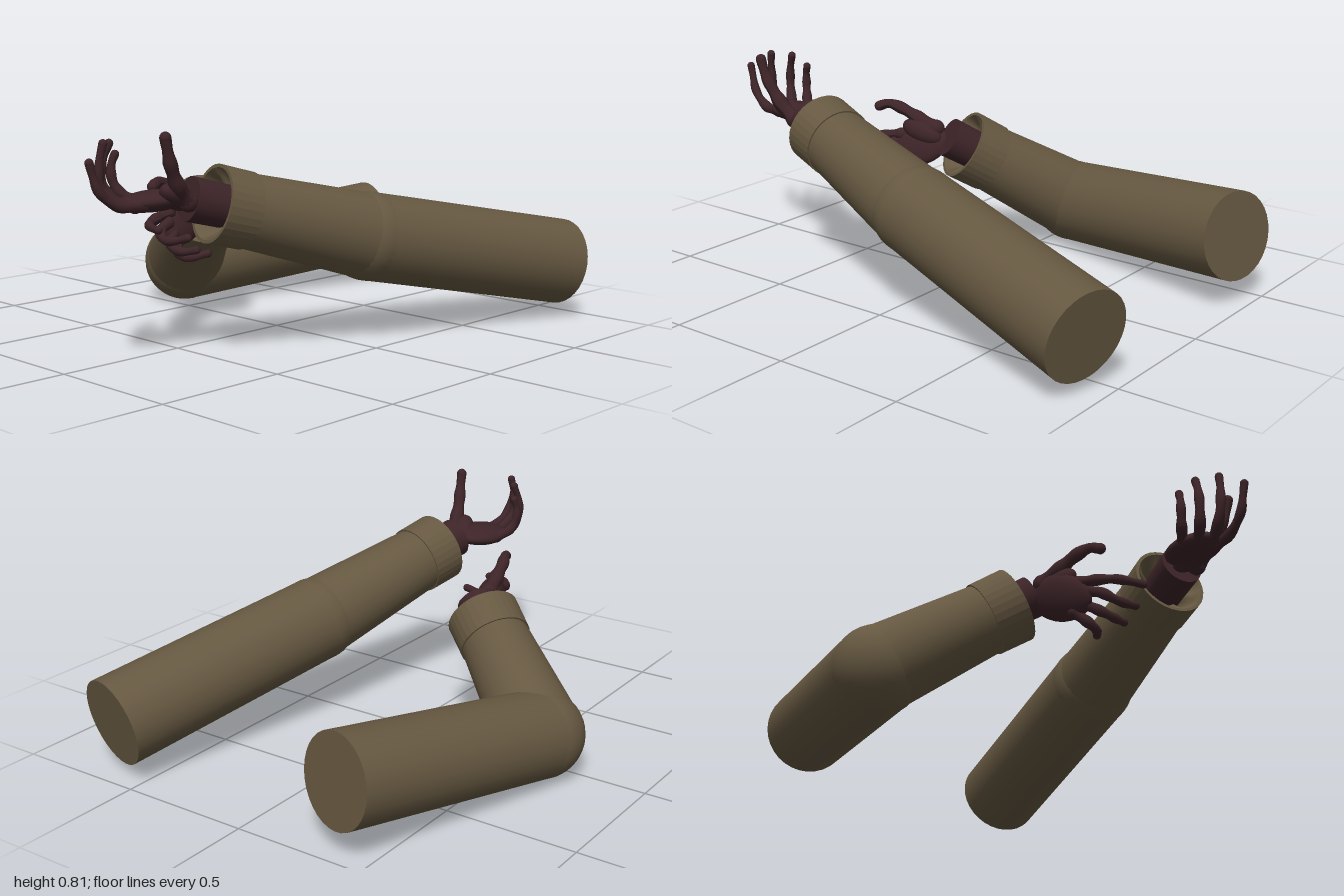
import * as THREE from 'three';

const cloth = new THREE.MeshStandardMaterial({ color: 0x665841 });
cloth.name = 'brownCloth';
const clothOpen = new THREE.MeshStandardMaterial({ color: 0x665841, side: THREE.DoubleSide });
clothOpen.name = 'brownClothLining';
const skin = new THREE.MeshStandardMaterial({ color: 0x3d2428 });
skin.name = 'darkHand';

const V = (a) => new THREE.Vector3(...a);
const UP = new THREE.Vector3(0, 1, 0);

function add(parent, name, geometry, material) {
  const mesh = new THREE.Mesh(geometry, material);
  mesh.name = name;
  parent.add(mesh);
  return mesh;
}

// Turns a y-aligned mesh so that it runs along dir from a point
function place(mesh, point, dir) {
  mesh.position.copy(point);
  mesh.quaternion.setFromUnitVectors(UP, dir);
  return mesh;
}

function rod(parent, name, a, b, ra, rb, material, open = false) {
  const dir = b.clone().sub(a);
  const geo = new THREE.CylinderGeometry(rb, ra, dir.length(), 32, 1, open);
  return place(add(parent, name, geo, material), a.clone().lerp(b, 0.5), dir.normalize());
}

// Ellipsoid with its long axis along dir and its wide axis near side
function pad(parent, name, centre, dir, side, size) {
  const y = V(dir).normalize();
  const z = V(side).cross(y).normalize();
  const x = y.clone().cross(z);
  const mesh = add(parent, name, new THREE.SphereGeometry(1, 24, 16), skin);
  mesh.quaternion.setFromRotationMatrix(new THREE.Matrix4().makeBasis(x, y, z));
  mesh.position.set(...centre);
  mesh.scale.set(...size);
}

// Tapered finger with slightly swollen joints and a rounded tip
function finger(parent, name, points, r0, r1) {
  const curve = new THREE.CatmullRomCurve3(points.map(V));
  const rings = 18, sides = 10;
  const geo = new THREE.TubeGeometry(curve, rings, 1, sides);
  const pos = geo.attributes.position;
  const p = new THREE.Vector3();
  for (let i = 0; i <= rings; i++) {
    const t = i / rings;
    const c = curve.getPointAt(t);
    const r = (r0 + (r1 - r0) * t) * (1 + 0.1 * Math.cos(t * Math.PI * 6));
    for (let j = 0; j <= sides; j++) {
      const k = i * (sides + 1) + j;
      p.fromBufferAttribute(pos, k).sub(c).multiplyScalar(r).add(c);
      pos.setXYZ(k, p.x, p.y, p.z);
    }
  }
  geo.computeVertexNormals();
  const group = new THREE.Group();
  group.name = name;
  add(group, name + 'Bones', geo, skin);
  add(group, name + 'Tip', new THREE.SphereGeometry(r1 * 1.12, 12, 8), skin).position.set(...points.at(-1));
  add(group, name + 'Knuckle', new THREE.SphereGeometry(r0 * 1.15, 12, 8), skin).position.set(...points[0]);
  parent.add(group);
}

// Cuff band, its rim and a pleated lining that narrows towards the wrist
function cuff(parent, end, dir) {
  const band = [[0.126, -0.13], [0.136, -0.13], [0.138, 0], [0.126, 0]];
  const geo = new THREE.LatheGeometry(band.map((q) => new THREE.Vector2(...q)), 32).toNonIndexed();
  geo.computeVertexNormals();
  place(add(parent, 'cuff', geo, clothOpen), end, dir);

  const lining = new THREE.LatheGeometry([[0.126, 0], [0.1, -0.04], [0.07, -0.07]].map((q) => new THREE.Vector2(...q)), 48);
  const pos = lining.attributes.position;
  for (let i = 0; i < pos.count; i++) {
    const depth = -pos.getY(i);
    const angle = Math.atan2(pos.getZ(i), pos.getX(i));
    pos.setY(i, -depth * (1 + 0.4 * Math.cos(angle * 6)));
  }
  lining.computeVertexNormals();
  place(add(parent, 'cuffLining', lining, clothOpen), end, dir);
}

function arm({ name, shoulder, elbow, wrist, hand, palm, heel, fingers, thumb }) {
  const group = new THREE.Group();
  group.name = name;
  const [s, e, w, h] = [shoulder, elbow, wrist, hand].map(V);
  const dir = w.clone().sub(e).normalize();
  const seam = w.clone().addScaledVector(dir, -0.125);

  // Sleeve
  rod(group, 'upperSleeve', s, e, 0.166, 0.161, cloth);
  add(group, 'elbow', new THREE.SphereGeometry(0.162, 32, 20), cloth).position.copy(e);
  rod(group, 'foreSleeve', e, seam, 0.157, 0.13, cloth, true);
  cuff(group, w, dir);

  // Hand
  rod(group, 'wrist', w.clone().addScaledVector(dir, -0.08), h, 0.075, 0.078, skin);
  pad(group, 'palm', ...palm);
  pad(group, 'palmHeel', ...heel);
  ['indexFinger', 'middleFinger', 'ringFinger', 'littleFinger'].forEach((n, i) =>
    finger(group, n, fingers[i], 0.022, 0.0135));
  finger(group, 'thumb', thumb, 0.031, 0.018);
  return group;
}

export function createModel() {
  const model = new THREE.Group();
  model.name = 'arms';

  // Left arm, nearly straight, palm up
  model.add(arm({
    name: 'leftArm',
    shoulder: [0.62, 0.21, -0.95], elbow: [0.385, 0.385, -0.08], wrist: [0.22, 0.55, 0.53],
    hand: [0.196, 0.573, 0.615],
    palm: [[0.143, 0.572, 0.725], [-0.06, -0.01, 0.25], [1, 0.1, 0.25], [0.092, 0.125, 0.038]],
    heel: [[0.2, 0.585, 0.68], [0.1, 0.1, 0.2], [1, 0, 0], [0.045, 0.09, 0.04]],
    fingers: [
      [[0.18, 0.57, 0.79], [0.16, 0.57, 0.88], [0.145, 0.62, 0.95], [0.138, 0.68, 0.973], [0.136, 0.718, 0.983]],
      [[0.14, 0.56, 0.8], [0.115, 0.575, 0.86], [0.093, 0.63, 0.905], [0.095, 0.71, 0.91], [0.103, 0.772, 0.9]],
      [[0.1, 0.56, 0.78], [0.065, 0.575, 0.83], [0.04, 0.64, 0.86], [0.042, 0.71, 0.855], [0.052, 0.765, 0.835]],
      [[0.075, 0.565, 0.74], [0.035, 0.59, 0.775], [0.015, 0.64, 0.795], [0.014, 0.69, 0.795], [0.02, 0.722, 0.785]],
    ],
    thumb: [[0.235, 0.57, 0.65], [0.25, 0.63, 0.71], [0.264, 0.7, 0.75], [0.272, 0.75, 0.77], [0.275, 0.795, 0.782]],
  }));

  // Right arm, bent at the elbow, palm inward
  model.add(arm({
    name: 'rightArm',
    shoulder: [-0.37, 0.265, -0.95], elbow: [-0.62, 0.166, -0.085], wrist: [-0.215, 0.45, 0.175],
    hand: [-0.167, 0.484, 0.21],
    palm: [[-0.145, 0.435, 0.345], [0.07, -0.07, 0.22], [-0.03, 0.1, 0.05], [0.085, 0.13, 0.038]],
    heel: [[-0.15, 0.49, 0.33], [0.02, 0.05, 0.2], [0, 1, 0], [0.045, 0.09, 0.04]],
    fingers: [
      [[-0.13, 0.47, 0.42], [-0.115, 0.455, 0.5], [-0.075, 0.447, 0.56], [-0.02, 0.442, 0.588], [0.017, 0.443, 0.596]],
      [[-0.115, 0.435, 0.44], [-0.09, 0.415, 0.495], [-0.04, 0.392, 0.52], [0.02, 0.396, 0.518], [0.066, 0.41, 0.505]],
      [[-0.11, 0.395, 0.42], [-0.08, 0.37, 0.455], [-0.035, 0.352, 0.475], [0.015, 0.35, 0.47], [0.055, 0.36, 0.455]],
      [[-0.12, 0.37, 0.385], [-0.09, 0.335, 0.415], [-0.055, 0.317, 0.42], [-0.02, 0.318, 0.395], [0.01, 0.33, 0.36]],
    ],
    thumb: [[-0.175, 0.505, 0.28], [-0.16, 0.54, 0.36], [-0.145, 0.572, 0.43], [-0.125, 0.587, 0.48], [-0.108, 0.575, 0.515]],
  }));

  return model;
}
